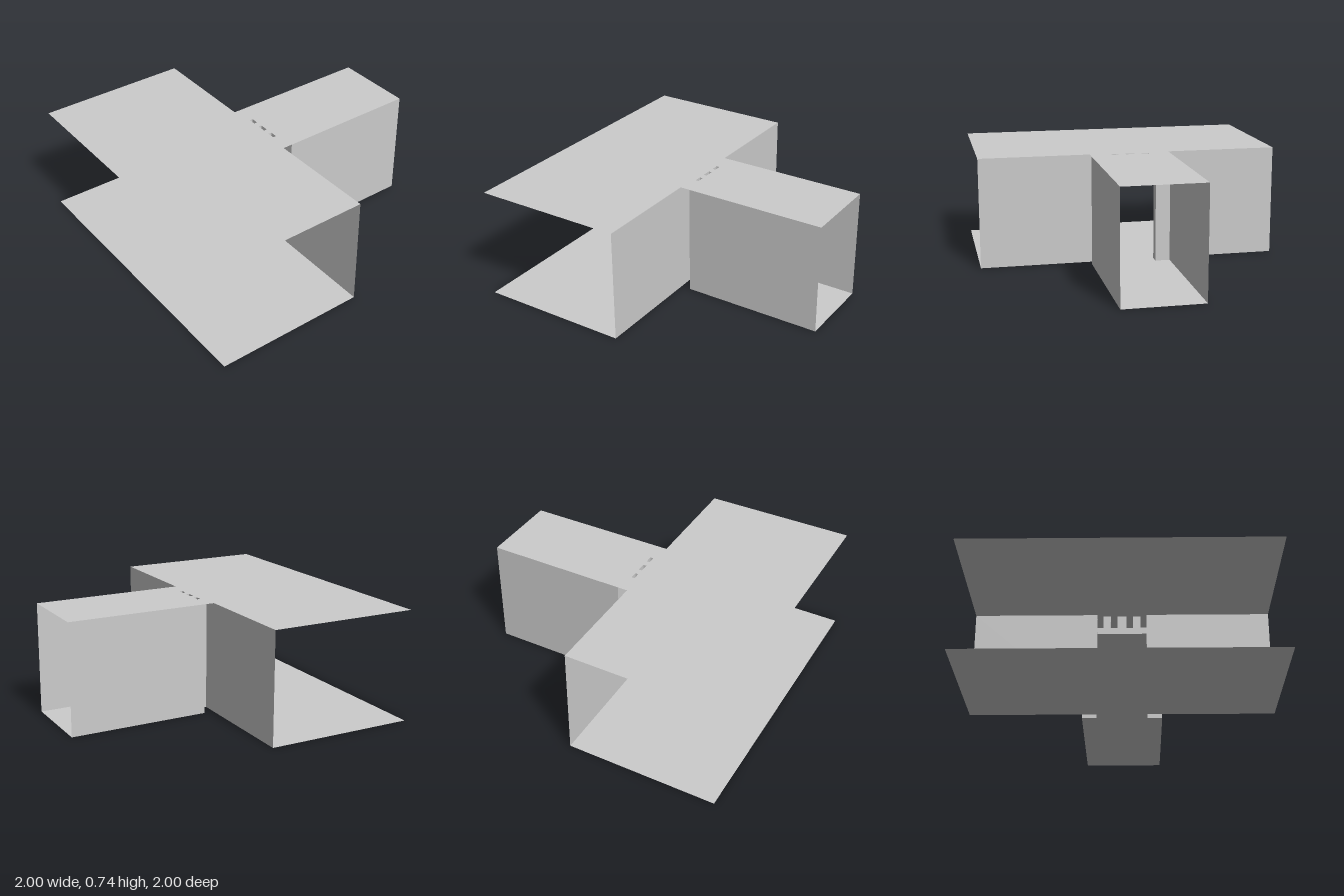
import * as THREE from 'three';

const H = 0.735;                 // ceiling height
const DOOR = 0.168;              // half width of the doorway
const HALL = 0.266;              // half width of the corridor
const DEPTH = 0.065;             // depth of the door jambs
const DUCT = { y0: 0.602, y1: 0.648, z0: -0.023, z1: -0.045 };
const VENTS = [[-0.127, -0.077], [-0.03, 0.03], [0.077, 0.127]];

const material = new THREE.MeshStandardMaterial({ color: 0xcccccc, side: THREE.DoubleSide });

const toShape = (pts) => new THREE.Shape(pts.map(([x, y]) => new THREE.Vector2(x, y)));
const rect = (a0, a1, b0, b1) => [[a0, b0], [a1, b0], [a1, b1], [a0, b1]];

function add(parent, name, geometry) {
  const mesh = new THREE.Mesh(geometry, material);
  mesh.name = name;
  parent.add(mesh);
  return mesh;
}

// Horizontal sheet drawn in (x, z)
function slab(parent, name, pts, y, holes = []) {
  const shape = toShape(pts.map(([x, z]) => [x, -z]));
  holes.forEach((h) => shape.holes.push(new THREE.Path(h.map(([x, z]) => new THREE.Vector2(x, -z)))));
  add(parent, name, new THREE.ShapeGeometry(shape).rotateX(-Math.PI / 2)).position.y = y;
}

// Vertical sheet between two plan points
function wall(parent, name, [xa, za], [xb, zb]) {
  const mesh = add(parent, name, new THREE.PlaneGeometry(Math.hypot(xb - xa, zb - za), H));
  mesh.position.set((xa + xb) / 2, H / 2, (za + zb) / 2);
  mesh.rotation.y = -Math.atan2(zb - za, xb - xa);
}

// Jamb sheet with the opening where the duct passes through
function jamb(parent, name, x) {
  const shape = toShape(rect(0, DEPTH, 0, H));
  shape.holes.push(new THREE.Path(
    rect(-DUCT.z0, -DUCT.z1, DUCT.y0, DUCT.y1).map(([a, b]) => new THREE.Vector2(a, b))));
  const geometry = new THREE.ShapeGeometry(shape).rotateY(Math.PI / 2);
  add(parent, name, geometry).position.x = x;
}

// Hollow duct across the doorway with three risers, open at its ends and tops
function ventDuct() {
  const group = new THREE.Group();
  group.name = 'ventDuct';
  const outline = [[-DOOR, DUCT.y0], [DOOR, DUCT.y0], [DOOR, DUCT.y1]];
  [...VENTS].reverse().forEach(([a, b]) => outline.push([b, DUCT.y1], [b, H], [a, H], [a, DUCT.y1]));
  outline.push([-DOOR, DUCT.y1]);

  const face = new THREE.ShapeGeometry(toShape(outline));
  add(group, 'ductFront', face).position.z = DUCT.z0;
  add(group, 'ductBack', face.clone().rotateY(Math.PI)).position.z = DUCT.z1;

  outline.forEach(([xa, ya], i) => {
    const [xb, yb] = outline[(i + 1) % outline.length];
    const openEnd = Math.abs(xa) === DOOR && xa === xb;
    const openTop = ya === H && yb === H;
    if (openEnd || openTop) return;
    const strip = new THREE.PlaneGeometry(Math.hypot(xb - xa, yb - ya), DUCT.z0 - DUCT.z1);
    const mesh = add(group, 'ductSide', strip.rotateX(Math.PI / 2));
    mesh.position.set((xa + xb) / 2, (ya + yb) / 2, (DUCT.z0 + DUCT.z1) / 2);
    mesh.rotation.z = Math.atan2(yb - ya, xb - xa);
  });
  return group;
}

export function createModel() {
  const group = new THREE.Group();
  group.name = 'roomAndCorridor';

  // Floor narrows at the doorway; ceiling is a plain T with vent openings
  slab(group, 'floor', [
    [-1, 1], [1, 1], [1, 0], [DOOR, 0], [DOOR, -DEPTH], [HALL, -DEPTH], [HALL, -1],
    [-HALL, -1], [-HALL, -DEPTH], [-DOOR, -DEPTH], [-DOOR, 0], [-1, 0]], 0);
  slab(group, 'ceiling', [
    [-1, 1], [1, 1], [1, 0], [HALL, 0], [HALL, -1], [-HALL, -1], [-HALL, 0], [-1, 0]], H,
  VENTS.map(([a, b]) => rect(a, b, DUCT.z1, DUCT.z0)));

  // Mirrored walls
  for (const [s, side] of [[1, 'left'], [-1, 'right']]) {
    wall(group, `${side}RoomWall`, [s * DOOR, 0], [s, 0]);
    jamb(group, `${side}DoorJamb`, s * DOOR);
    wall(group, `${side}ReturnWall`, [s * DOOR, -DEPTH], [s * HALL, -DEPTH]);
    wall(group, `${side}CorridorWall`, [s * HALL, -DEPTH], [s * HALL, -1]);
  }

  group.add(ventDuct());
  return group;
}
